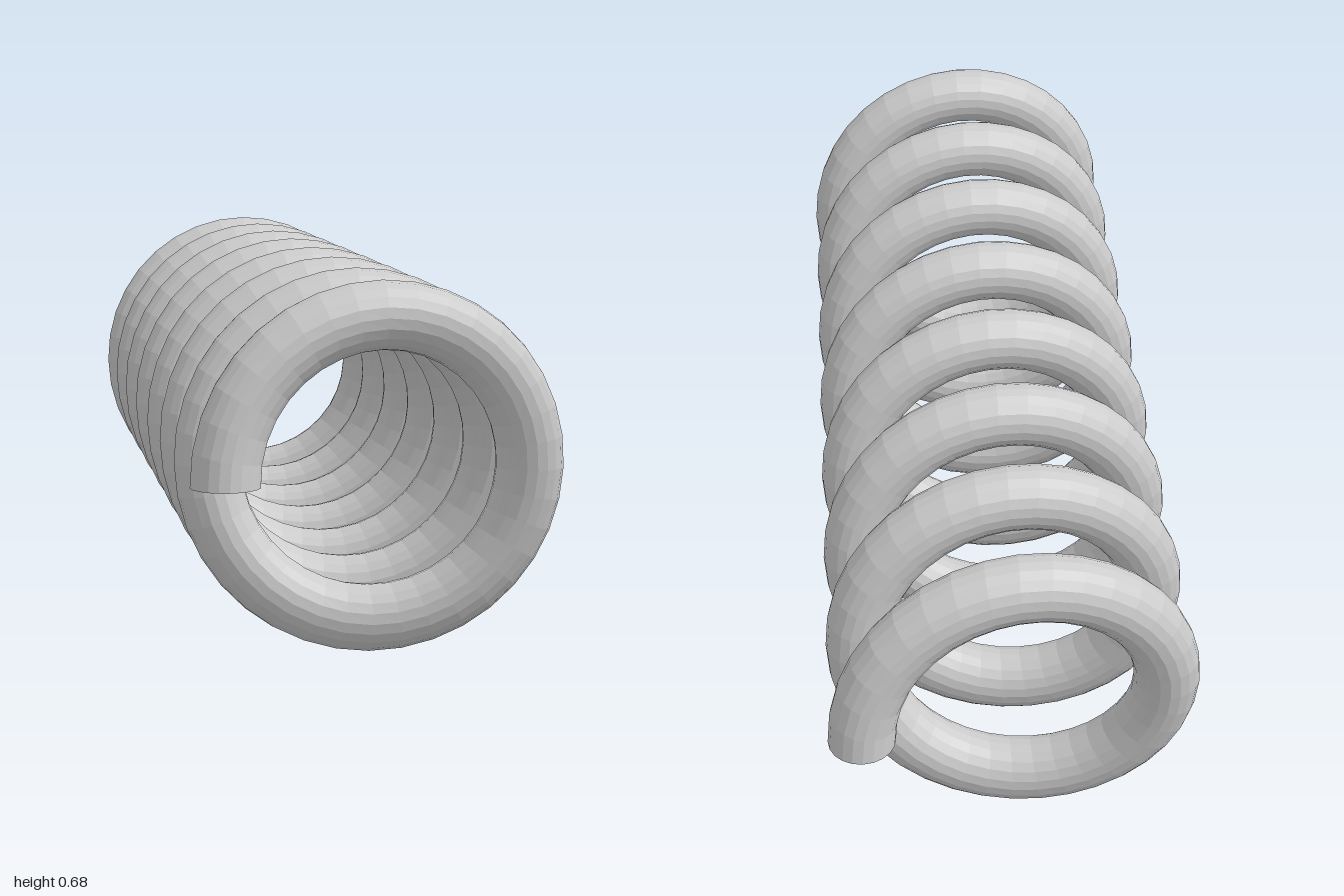
import * as THREE from 'three';

const COIL_RADIUS = 0.278; // axis of coil to centre of wire
const WIRE_RADIUS = 0.06;
const TURNS = 7.5;
const PITCH = 0.25;
const CENTRE_Y = 0.34;

// Bend a straight capped cylinder into a helix along z, keeping each
// section in the plane of the coil's axis so that the ends are level.
function createCoilGeometry() {
  const geometry = new THREE.CylinderGeometry(WIRE_RADIUS, WIRE_RADIUS, 1, 20, TURNS * 36);
  const position = geometry.attributes.position;
  for (let i = 0; i < position.count; i++) {
    const along = position.getY(i); // -0.5 to 0.5
    const angle = (along + 0.5) * TURNS * Math.PI * 2;
    const radius = COIL_RADIUS + position.getX(i);
    position.setXYZ(
      i,
      -radius * Math.cos(angle),
      CENTRE_Y + radius * Math.sin(angle),
      -along * TURNS * PITCH - position.getZ(i)
    );
  }
  geometry.computeVertexNormals();
  return geometry;
}

export function createModel() {
  const model = new THREE.Group();
  model.name = 'coilSpring';

  // Wire with flat cut ends
  const material = new THREE.MeshStandardMaterial({ color: 0xcccccc, flatShading: true });
  const coil = new THREE.Mesh(createCoilGeometry(), material);
  coil.name = 'springCoil';
  model.add(coil);

  return model;
}
